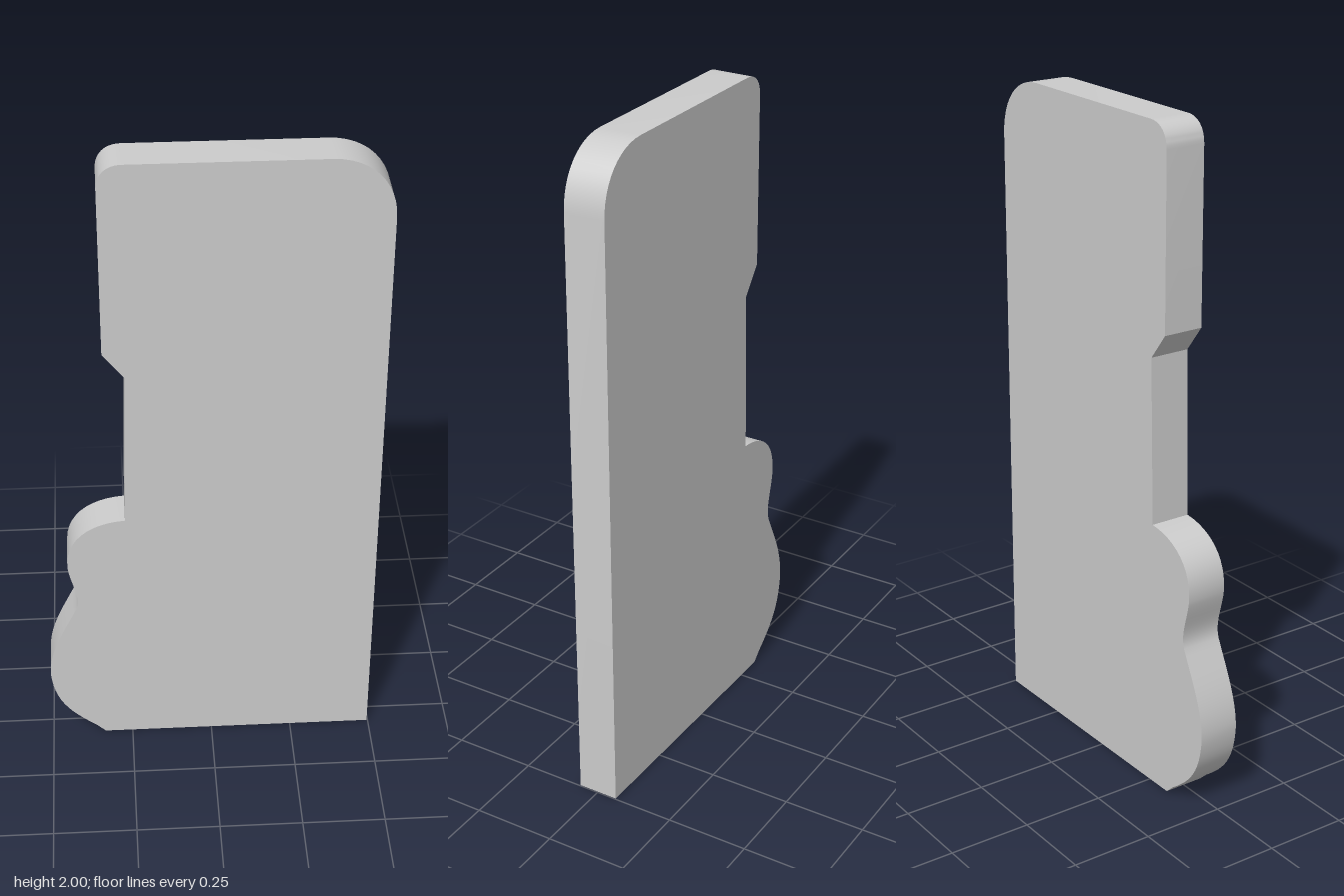
import * as THREE from 'three';
import { toCreasedNormals } from 'three/addons/utils/BufferGeometryUtils.js';

const DEPTH = 0.124;

// Silhouette of the panel, counter-clockwise from the lower right corner
function panelOutline() {
  const s = new THREE.Shape();
  s.moveTo(0.497, 0);
  s.lineTo(0.497, 1.82);
  // rounded top corners, the right one wider
  s.bezierCurveTo(0.497, 1.925, 0.425, 2, 0.32, 2);
  s.lineTo(-0.235, 2);
  s.bezierCurveTo(-0.277, 2, -0.306, 1.973, -0.306, 1.93);
  // straight upper edge, chamfer and recess
  s.lineTo(-0.306, 1.415);
  s.lineTo(-0.244, 1.335);
  s.lineTo(-0.255, 0.835);
  // upper bulge
  s.bezierCurveTo(-0.365, 0.828, -0.438, 0.765, -0.43, 0.66);
  // waist
  s.bezierCurveTo(-0.422, 0.6, -0.393, 0.55, -0.41, 0.505);
  // lower bulge
  s.bezierCurveTo(-0.45, 0.42, -0.499, 0.34, -0.499, 0.25);
  s.bezierCurveTo(-0.492, 0.14, -0.45, 0.09, -0.365, 0.028);
  s.lineTo(-0.335, 0);
  s.closePath();
  return s;
}

export function createModel() {
  const group = new THREE.Group();
  const geometry = new THREE.ExtrudeGeometry(panelOutline(), {
    depth: DEPTH, bevelEnabled: false, curveSegments: 12,
  });
  geometry.translate(0, 0, -DEPTH / 2);

  const panel = new THREE.Mesh(
    toCreasedNormals(geometry, Math.PI / 7),
    new THREE.MeshStandardMaterial({ color: 0xcccccc }),
  );
  panel.name = 'contouredPanel';
  group.add(panel);
  return group;
}
